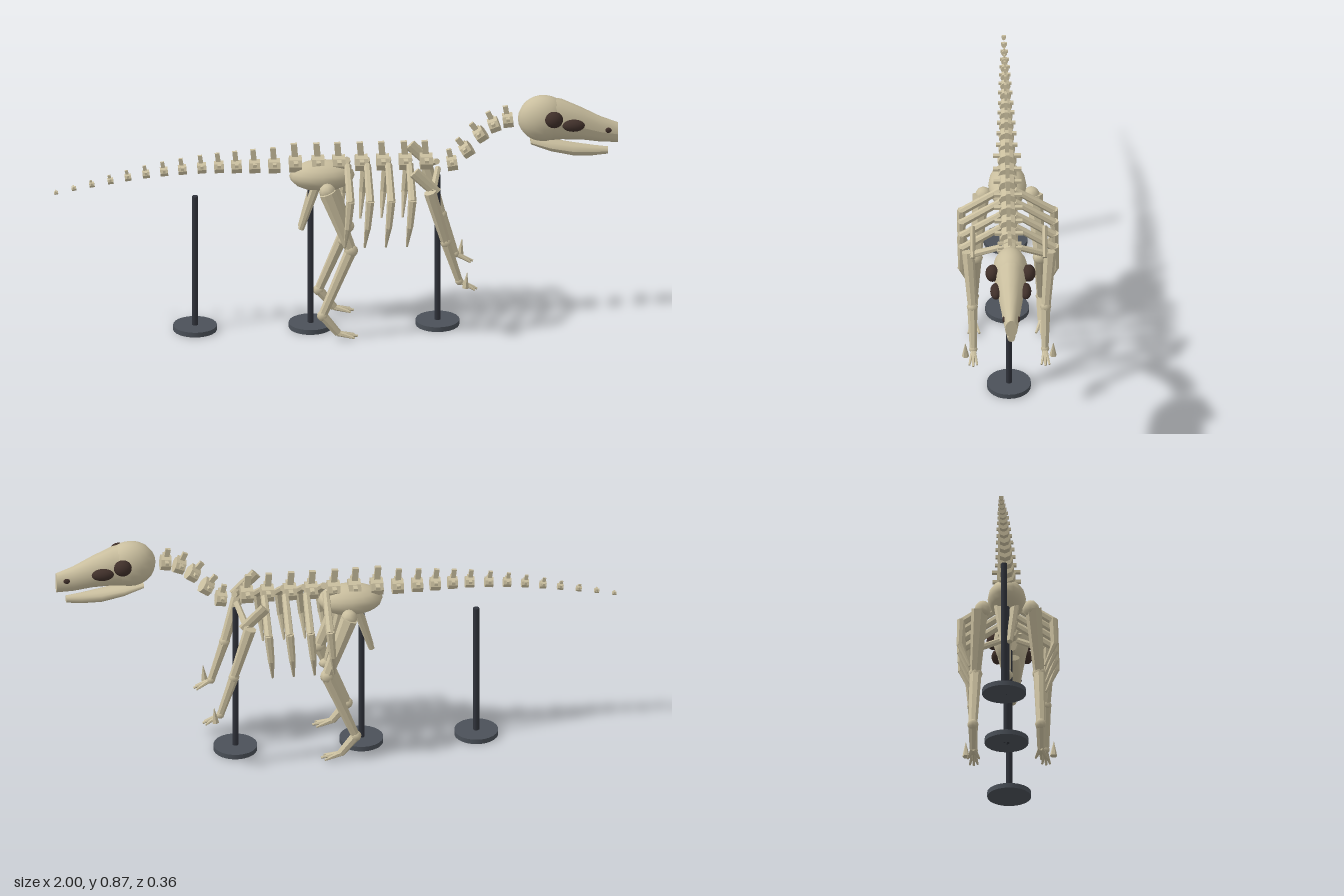
import * as THREE from 'three';

const mat = (name, color) => Object.assign(new THREE.MeshStandardMaterial({ color }), { name });

export function createModel() {
  const bone = mat('bone', 0xcabf9f);
  const socket = mat('socket brown', 0x40302a);
  const steel = mat('stand pole', 0x30333b);
  const plate = mat('stand base', 0x4b5159);
  const model = new THREE.Group();
  model.name = 'skeletonOnStands';

  const V = (x, y, z) => new THREE.Vector3(x, y, z);
  const faceted = (g) => {
    const f = g.toNonIndexed();
    f.computeVertexNormals();
    return f;
  };
  const add = (name, geo, material, parent = model) => {
    const m = new THREE.Mesh(geo, material);
    m.name = name;
    parent.add(m);
    return m;
  };
  const group = (name) => {
    const g = new THREE.Group();
    g.name = name;
    model.add(g);
    return g;
  };
  // Tapered faceted bone between two points
  const rod = (name, a, b, ra, rb, parent, sides = 7) => {
    const geo = faceted(new THREE.CylinderGeometry(rb, ra, a.distanceTo(b), sides));
    const m = add(name, geo, bone, parent);
    m.position.copy(a).lerp(b, 0.5);
    m.quaternion.setFromUnitVectors(V(0, 1, 0), b.clone().sub(a).normalize());
    return m;
  };
  const ball = (name, p, r, material, parent, w = 16, h = 12) => {
    const m = add(name, new THREE.SphereGeometry(1, w, h), material, parent);
    m.position.copy(p);
    m.scale.copy(r);
    return m;
  };
  // Closed loft along x through elliptical sections [x, y, ry, rz]
  const loft = (name, sections, parent) => {
    const n = sections.length, sides = 14;
    const g = new THREE.CylinderGeometry(1, 1, 1, sides, n - 1);
    const p = g.attributes.position;
    for (let i = 0; i < p.count; i++) {
      const k = Math.round((0.5 - p.getY(i)) * (n - 1));
      const [x, y, ry, rz] = sections[k];
      p.setXYZ(i, x, y + p.getX(i) * ry, p.getZ(i) * rz);
    }
    // sections run tail to nose, which mirrors the cylinder: restore the winding
    const id = g.index;
    for (let i = 0; i < id.count; i += 3) {
      const a = id.getX(i);
      id.setX(i, id.getX(i + 1));
      id.setX(i + 1, a);
    }
    const va = V(0, 0, 0), vb = V(0, 0, 0), vc = V(0, 0, 0);
    // make sure the faces point away from the middle of the loft
    const mid = V((sections[0][0] + sections[n - 1][0]) / 2, (sections[0][1] + sections[n - 1][1]) / 2, 0);
    let volume = 0;
    for (let i = 0; i < id.count; i += 3) {
      [va, vb, vc].forEach((v, k) => v.fromBufferAttribute(p, id.getX(i + k)).sub(mid));
      volume += va.dot(vb.cross(vc));
    }
    if (volume < 0) {
      for (let i = 0; i < id.count; i += 3) {
        const a = id.getX(i);
        id.setX(i, id.getX(i + 1));
        id.setX(i + 1, a);
      }
    }
    g.computeVertexNormals();
    return add(name, g, bone, parent);
  };

  // Display stands
  for (const [x, top] of [[-0.5, 0.51], [-0.09, 0.57], [0.36, 0.57]]) {
    const g = group('stand');
    add('base', new THREE.CylinderGeometry(0.078, 0.078, 0.018, 24), plate, g).position.set(x, 0.009, 0);
    add('pole', new THREE.CylinderGeometry(0.011, 0.011, top, 10), steel, g).position.set(x, top / 2, 0);
  }

  // Backbone: [x, y, radius, length, spine height, transverse half width, tilt]
  const spine = group('backbone');
  const vertebra = (x, y, r, len, h, tw, tilt = 0) => {
    const g = new THREE.Group();
    g.name = 'vertebra';
    g.position.set(x, y, 0);
    g.rotation.z = tilt;
    spine.add(g);
    rod('body', V(-len / 2, 0, 0), V(len / 2, 0, 0), r, r, g, 8);
    if (h > 0.004) {
      const s = add('neuralSpine', new THREE.BoxGeometry(len * 0.5, h + 0.01, r * 0.45), bone, g);
      s.position.set(-len * 0.08, r + h / 2 - 0.005, 0);
      s.rotation.z = 0.08;
    }
    if (tw > r) add('sideProcess', new THREE.BoxGeometry(len * 0.35, 0.01, tw * 2), bone, g).position.y = r * 0.5;
  };
  const tail = [[-0.993, 0.535], [-0.93, 0.55], [-0.866, 0.563], [-0.8, 0.576], [-0.738, 0.588], [-0.674, 0.599],
    [-0.61, 0.607], [-0.545, 0.613], [-0.476, 0.618], [-0.415, 0.62], [-0.353, 0.62], [-0.289, 0.62], [-0.219, 0.62]];
  tail.forEach(([x, y], i) => {
    const t = i / 12;
    vertebra(x, y, 0.007 + 0.022 * t, 0.014 + 0.026 * t, 0.04 * t, 0.008 + 0.03 * t, 0.2 * (1 - t));
  });
  const back = [-0.144, -0.064, 0.01, 0.09, 0.166, 0.246, 0.32];
  back.forEach((x) => vertebra(x, 0.625, 0.033, 0.044, 0.045, 0.05));
  for (const [x, y, tilt] of [[0.412, 0.615, 0.15], [0.464, 0.665, 0.6], [0.513, 0.722, 0.6], [0.561, 0.758, 0.35], [0.61, 0.775, 0.1]])
    vertebra(x, y, 0.029, 0.036, 0.026, 0.042, tilt);

  // Skull and lower jaw
  const skull = group('skull');
  ball('cranium', V(0.735, 0.78, 0), V(0.09, 0.085, 0.063), bone, skull);
  loft('snout', [[0.74, 0.779, 0.082, 0.058], [0.8, 0.775, 0.075, 0.054], [0.87, 0.757, 0.06, 0.043],
    [0.94, 0.733, 0.047, 0.031], [1, 0.72, 0.037, 0.022]], skull);
  loft('lowerJaw', [[0.69, 0.697, 0.012, 0.03], [0.76, 0.677, 0.02, 0.036], [0.84, 0.66, 0.023, 0.031],
    [0.91, 0.653, 0.019, 0.021], [0.965, 0.652, 0.013, 0.013]], skull);

  // Pelvis with its lower rods
  const pelvis = group('pelvis');
  ball('hipBone', V(-0.05, 0.58, 0), V(0.116, 0.055, 0.068), bone, pelvis, 16, 10);
  rod('pubis', V(-0.02, 0.56, 0), V(0.035, 0.33, 0), 0.018, 0.012, pelvis);
  ball('pubisFoot', V(0.035, 0.325, 0), V(0.028, 0.018, 0.02), bone, pelvis, 8, 6);
  for (const s of [1, -1])
    rod('ischium', V(-0.07, 0.56, 0.03 * s), V(-0.125, 0.38, 0.012 * s), 0.018, 0.011, pelvis);

  for (const s of [1, -1]) {
    const P = (x, y, z) => V(x, y, z * s);
    const side = s > 0 ? 'right' : 'left';

    // Eye sockets and nostrils
    ball('eyeSocket', P(0.77, 0.798, 0.064), V(0.032, 0.03, 0.025), socket, skull);
    ball('cheekOpening', P(0.84, 0.77, 0.053), V(0.04, 0.022, 0.02), socket, skull);
    ball('nostril', P(0.965, 0.738, 0.026), V(0.012, 0.01, 0.006), socket, skull, 10, 8);

    // Ribs
    const cage = group(side + 'Ribs');
    for (const x of [0.03, 0.1, 0.175, 0.25]) {
      rod('ribHead', P(x + 0.01, 0.625, 0.025), P(x + 0.012, 0.535, 0.163), 0.013, 0.015, cage);
      rod('ribShaft', P(x + 0.012, 0.542, 0.163), P(x + 0.003, 0.44, 0.168), 0.016, 0.012, cage);
      rod('ribTip', P(x + 0.003, 0.445, 0.168), P(x - 0.006, 0.355, 0.133), 0.012, 0.004, cage);
    }

    // Hind leg
    const leg = group(side + 'HindLeg');
    const knee = P(0.047, 0.335, 0.113), ankle = P(-0.055, 0.09, 0.12), ball1 = P(0, 0.022, 0.12);
    ball('hipJoint', P(-0.035, 0.55, 0.085), V(0.03, 0.03, 0.03), bone, leg, 8, 6);
    rod('thigh', P(-0.035, 0.55, 0.095), knee, 0.031, 0.02, leg);
    ball('kneeJoint', knee, V(0.025, 0.025, 0.025), bone, leg, 8, 6);
    rod('shin', knee, ankle, 0.022, 0.016, leg);
    ball('ankleJoint', ankle, V(0.02, 0.02, 0.02), bone, leg, 8, 6);
    rod('footBone', ankle, ball1, 0.018, 0.014, leg);
    for (const d of [-1, 0, 1])
      rod('toe', ball1, P(0.07 - 0.012 * Math.abs(d), 0.01, 0.12 + 0.02 * d), 0.011, 0.004, leg, 6);

    // Shoulder and arm
    const arm = group(side + 'Arm');
    const shoulder = P(0.325, 0.565, 0.145), elbow = P(0.382, 0.365, 0.13), wrist = P(0.43, 0.215, 0.127);
    const blade = rod('shoulderBlade', P(0.27, 0.635, 0.128), P(0.35, 0.555, 0.128), 0.022, 0.02, arm, 8);
    blade.scale.z = 0.45;
    rod('collarBone', P(0.335, 0.56, 0.135), P(0.36, 0.61, 0.03), 0.013, 0.011, arm);
    rod('upperArm', shoulder, elbow, 0.023, 0.017, arm);
    ball('elbowJoint', elbow, V(0.02, 0.02, 0.02), bone, arm, 8, 6);
    rod('forearm', elbow, wrist, 0.018, 0.013, arm);
    ball('wristJoint', wrist, V(0.015, 0.015, 0.015), bone, arm, 8, 6);
    for (const d of [-1, 0, 1])
      rod('finger', wrist, P(0.493 - 0.008 * Math.abs(d), 0.185, 0.128 + 0.014 * d), 0.009, 0.004, arm, 6);
    rod('thumbSpike', P(0.45, 0.2, 0.155), P(0.456, 0.258, 0.156), 0.013, 0.001, arm, 6);
  }
  return model;
}
